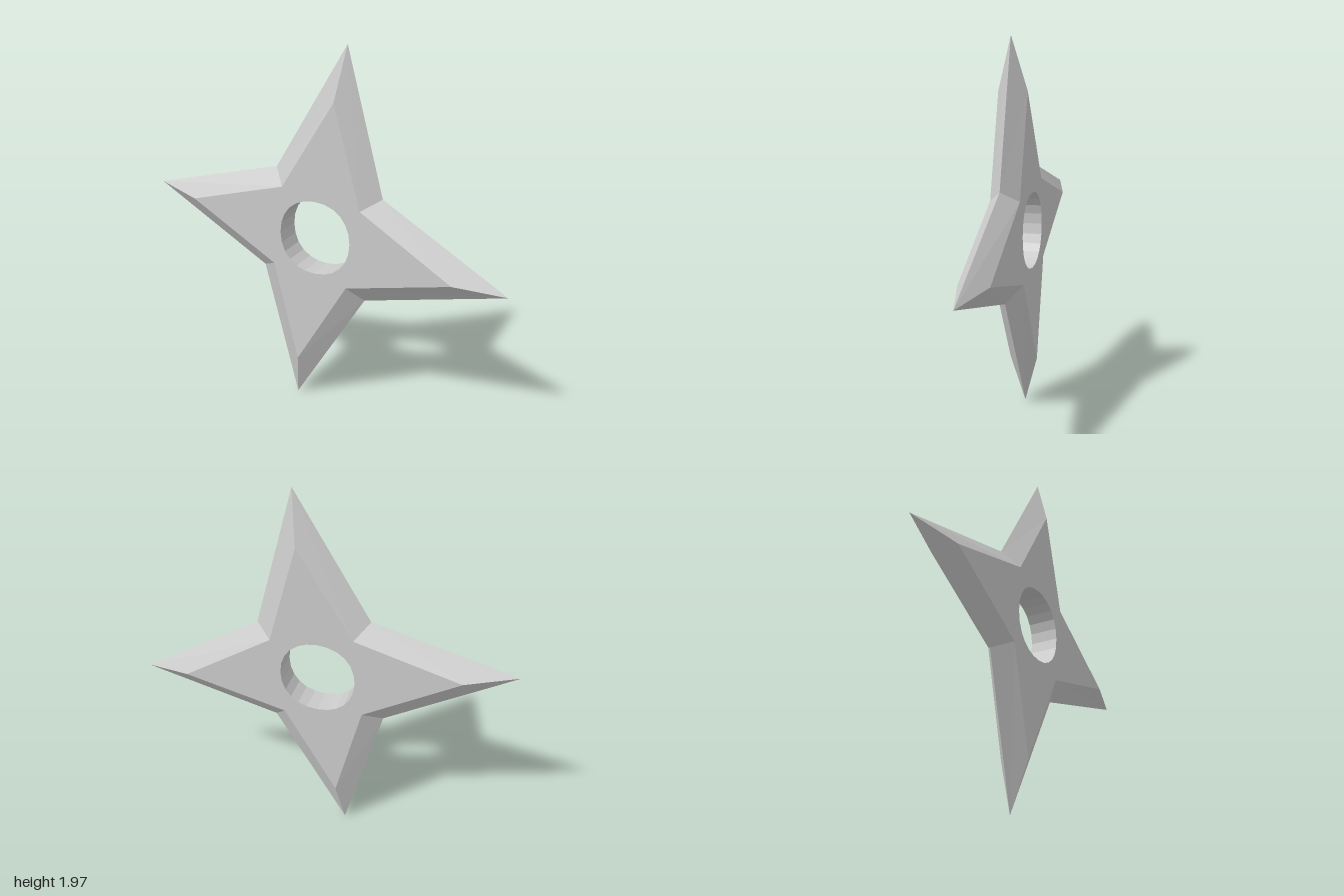
import * as THREE from 'three';

const HALF = 0.075; // half thickness of the flat body

// Sharp outline and the smaller flat outline, both clockwise from the top point
const EDGE = [[0.14, 1.98], [0.34, 1.245], [0.995, 0.855], [0.255, 0.675],
  [-0.145, 0.01], [-0.34, 0.765], [-1, 1.145], [-0.255, 1.335]];
const FLAT = [[0.105, 1.715], [0.25, 1.19], [0.735, 0.89], [0.18, 0.76],
  [-0.105, 0.275], [-0.24, 0.82], [-0.735, 1.105], [-0.185, 1.255]];

// Slightly squarish round hole from four curves, clockwise
function holeRing(cx, cy, r, k, steps) {
  const ring = [];
  for (let q = 0; q < 4; q++) {
    const a = Math.PI / 2 * (1 - q);
    const u = new THREE.Vector2(Math.cos(a), Math.sin(a)).multiplyScalar(r);
    const v = new THREE.Vector2(u.y, -u.x);
    const curve = new THREE.CubicBezierCurve(
      u, u.clone().addScaledVector(v, k), v.clone().addScaledVector(u, k), v);
    for (let i = 0; i < steps; i++) {
      const p = curve.getPoint(i / steps);
      ring.push([cx + p.x, cy + p.y]);
    }
  }
  return ring;
}

// Flat-shaded closed band between two rings
function band(a, za, b, zb) {
  const pos = [];
  a.forEach((_, i) => {
    const j = (i + 1) % a.length;
    pos.push(...a[i], za, ...a[j], za, ...b[i], zb);
    pos.push(...a[j], za, ...b[j], zb, ...b[i], zb);
  });
  const geo = new THREE.BufferGeometry();
  geo.setAttribute('position', new THREE.Float32BufferAttribute(pos, 3));
  geo.computeVertexNormals();
  return geo;
}

export function createModel() {
  const group = new THREE.Group();
  group.name = 'throwingStar';
  const material = new THREE.MeshStandardMaterial({ color: 0xcccccc, flatShading: true });
  const add = (name, geo) => {
    const mesh = new THREE.Mesh(geo, material);
    mesh.name = name;
    group.add(mesh);
    return mesh;
  };
  const toVectors = (ring) => ring.map(([x, y]) => new THREE.Vector2(x, y));
  const hole = holeRing(0, 1.005, 0.198, 0.6, 6);

  // Flat faces with the centre hole; the back one has its winding flipped
  const shape = new THREE.Shape(toVectors(FLAT));
  shape.holes.push(new THREE.Path(toVectors(hole)));
  const face = new THREE.ShapeGeometry(shape);
  const back = face.clone();
  back.setIndex([...face.index.array].reverse());
  back.computeVertexNormals();
  add('frontFace', face).position.z = HALF;
  add('backFace', back).position.z = -HALF;

  // Bevels meeting at the sharp edge
  add('frontBevel', band(FLAT, HALF, EDGE, 0));
  add('backBevel', band(EDGE, 0, FLAT, -HALF));

  // Inner wall of the hole
  add('holeWall', band(hole, -HALF, hole, HALF));

  return group;
}
